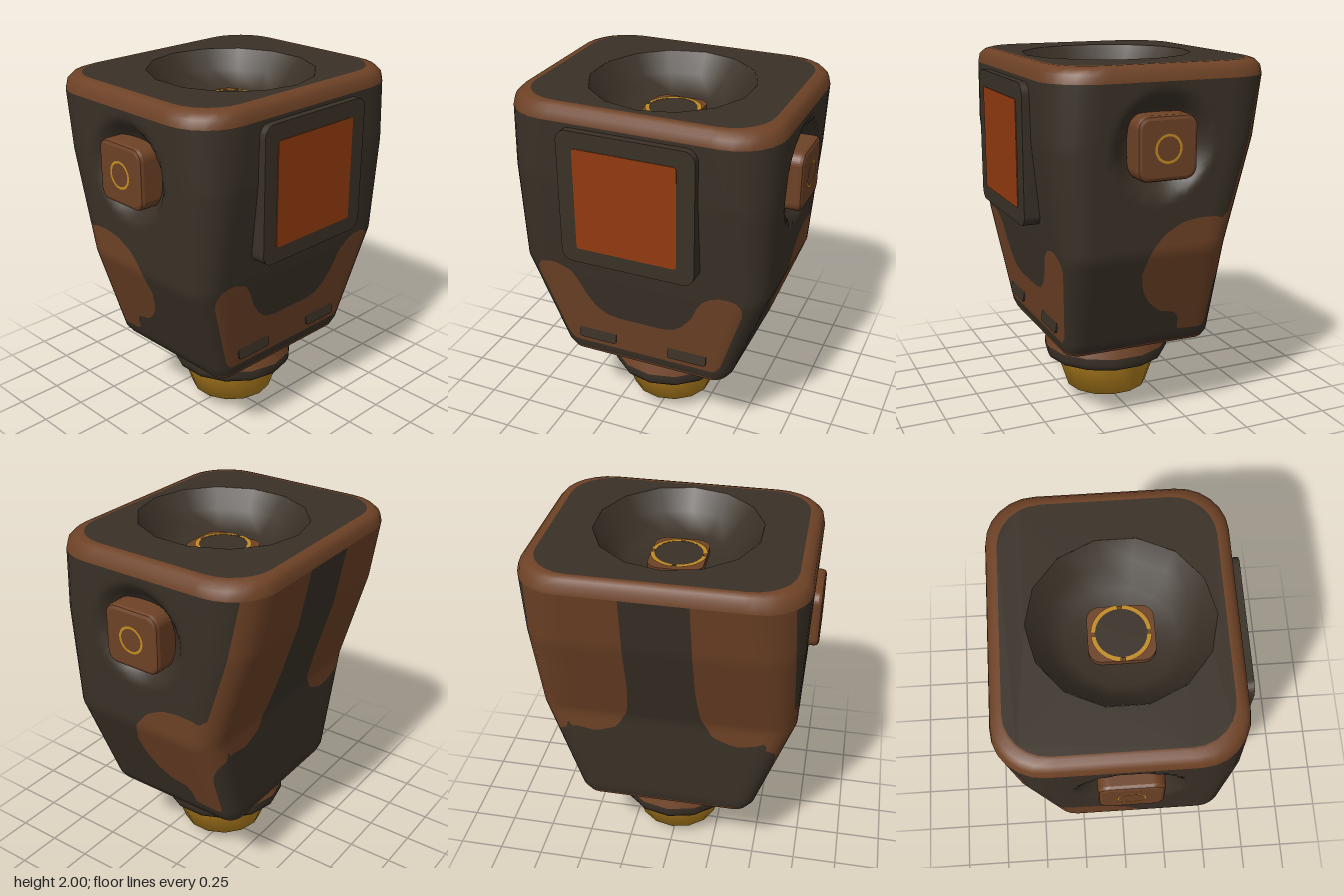
import * as THREE from 'three';

const mat = (name, color, side = THREE.FrontSide) => {
  const m = new THREE.MeshStandardMaterial({ color, side });
  m.name = name;
  return m;
};

// Body sections: y, half width, front z, back z, corner radius
const SECTIONS = [
  [0.46, 0.47, 0.435, -0.385, 0.08],
  [0.5, 0.5, 0.45, -0.4, 0.09],
  [1.05, 0.7, 0.53, -0.4, 0.14],
  [1.6, 0.717, 0.586, -0.565, 0.2],
  [1.92, 0.727, 0.592, -0.625, 0.25],
];
const RIM = [
  SECTIONS[4],
  [1.965, 0.718, 0.585, -0.618, 0.25],
  [1.99, 0.695, 0.562, -0.598, 0.24],
  [2, 0.665, 0.535, -0.572, 0.23],
  [2, 0.65, 0.52, -0.56, 0.22],
];
const ROWS = [1, 14, 15, 9];
const DISH = { y: 1.6, z: 0.02, r: 0.27 };

const mix = (a, b, t) => a.map((v, i) => v + (b[i] - v) * t);
const sectionAt = (y) => {
  let i = 0;
  while (i < SECTIONS.length - 2 && y > SECTIONS[i + 1][0]) i++;
  return mix(SECTIONS[i], SECTIONS[i + 1], (y - SECTIONS[i][0]) / (SECTIONS[i + 1][0] - SECTIONS[i][0]));
};

// Rounded rectangle ring around the body
function ring([y, w, zf, zb, r], arc = 6, straight = 24) {
  const pts = [];
  const centres = [[w - r, zf - r], [r - w, zf - r], [r - w, zb + r], [w - r, zb + r]];
  const on = (k, a) => new THREE.Vector3(centres[k][0] + r * Math.cos(a), y, centres[k][1] + r * Math.sin(a));
  for (let k = 0; k < 4; k++) {
    const end = (k + 1) * Math.PI / 2;
    for (let i = 0; i < arc; i++) pts.push(on(k, end - (1 - i / arc) * Math.PI / 2));
    const a = on(k, end), b = on((k + 1) % 4, end);
    for (let i = 0; i < straight; i++) pts.push(a.clone().lerp(b, i / straight));
  }
  return pts;
}

// Skin between closed rings of equal length
function loft(rings) {
  const n = rings[0].length, index = [];
  for (let j = 0; j < rings.length - 1; j++) {
    for (let i = 0; i < n; i++) {
      const a = j * n + i, b = j * n + (i + 1) % n;
      index.push(a, a + n, b, b, a + n, b + n);
    }
  }
  const g = new THREE.BufferGeometry().setFromPoints(rings.flat());
  g.setIndex(index);
  g.computeVertexNormals();
  return g;
}

// Signed distance to a polygon, positive inside
function inside(poly, x, y) {
  let d = Infinity, within = false;
  poly.forEach(([ax, ay], i) => {
    const [bx, by] = poly[(i + 1) % poly.length];
    const ex = bx - ax, ey = by - ay;
    const t = Math.min(1, Math.max(0, ((x - ax) * ex + (y - ay) * ey) / (ex * ex + ey * ey)));
    d = Math.min(d, Math.hypot(x - ax - ex * t, y - ay - ey * t));
    if ((ay > y) !== (by > y) && x < ax + ex * (y - ay) / ey) within = !within;
  });
  return within ? d : -d;
}

// Brown patches: front and back in (|x|, y), sides in (z, y)
const FRONT = [[-0.2, 0.53], [0.42, 0.53], [0.455, 0.56], [0.595, 0.99], [0.585, 1.035], [0.55, 1.065], [0.47, 1.065],
  [0.39, 1.035], [0.35, 0.98], [0.31, 0.89], [0.26, 0.82], [0.2, 0.775], [0.13, 0.76], [-0.2, 0.76]];
const BACK = [[0.17, 2.1], [0.18, 1.3], [0.2, 1.1], [0.26, 0.98], [0.38, 0.93], [0.5, 0.95], [0.62, 1.02], [0.9, 1.05], [0.9, 2.1]];
const SIDE = [[-0.2, 1.22], [-0.1, 1.205], [0, 1.15], [0.075, 1.06], [0.106, 0.94], [0.08, 0.83], [0.03, 0.75], [-0.04, 0.69],
  [-0.14, 0.665], [-0.165, 0.62], [-0.17, 0.55], [-0.34, 0.54], [-0.34, 0.8], [-0.36, 0.88], [-0.4, 0.93], [-0.41, 1.13], [-0.36, 1.19], [-0.3, 1.215]];
function patch(p) {
  const x = Math.abs(p.x), [, w, , zb] = sectionAt(p.y);
  const side = Math.min(inside(SIDE, p.z, p.y), x - w + 0.12);
  const ends = p.z > 0 ? inside(FRONT, x, p.y) : Math.min(inside(BACK, x, p.y), zb + 0.08 - p.z);
  return Math.max(side, ends, 0.475 - p.y);
}

// Cut a geometry along the zero line of a function; keep one side
function cut(geo, fn, sign) {
  const P = geo.attributes.position, N = geo.attributes.normal, pos = [], nor = [];
  const verts = Array.from({ length: P.count }, (_, i) => {
    const p = new THREE.Vector3().fromBufferAttribute(P, i);
    return { p, n: new THREE.Vector3().fromBufferAttribute(N, i), f: sign * fn(p) };
  });
  const idx = geo.index.array;
  for (let t = 0; t < idx.length; t += 3) {
    const poly = [];
    for (let k = 0; k < 3; k++) {
      const a = verts[idx[t + k]], b = verts[idx[t + (k + 1) % 3]];
      if (a.f >= 0) poly.push(a);
      if ((a.f >= 0) !== (b.f >= 0)) {
        const s = a.f / (a.f - b.f);
        poly.push({ p: a.p.clone().lerp(b.p, s), n: a.n.clone().lerp(b.n, s).normalize() });
      }
    }
    for (let k = 1; k < poly.length - 1; k++) {
      for (const v of [poly[0], poly[k], poly[k + 1]]) { pos.push(...v.p); nor.push(...v.n); }
    }
  }
  const g = new THREE.BufferGeometry();
  g.setAttribute('position', new THREE.Float32BufferAttribute(pos, 3));
  g.setAttribute('normal', new THREE.Float32BufferAttribute(nor, 3));
  return g;
}

function roundedRect(w, h, r) {
  const s = new THREE.Shape();
  s.absarc(w - r, h - r, r, 0, Math.PI / 2);
  s.absarc(r - w, h - r, r, Math.PI / 2, Math.PI);
  s.absarc(r - w, r - h, r, Math.PI, Math.PI * 1.5);
  s.absarc(w - r, r - h, r, Math.PI * 1.5, Math.PI * 2);
  return s;
}
const slab = (w, h, r, depth, bevel = 0) => new THREE.ExtrudeGeometry(roundedRect(w - bevel, h - bevel, r), {
  depth, curveSegments: 5, bevelEnabled: bevel > 0, bevelSize: bevel, bevelThickness: bevel, bevelSegments: 2 });
const lathe = (pts) => new THREE.LatheGeometry(pts.map(([x, y]) => new THREE.Vector2(x, y)), 14);

export function createModel() {
  const root = new THREE.Group();
  const dark = mat('dark shell', 0x3a3127, THREE.DoubleSide);
  const brown = mat('brown trim', 0x6e4226);
  const gold = mat('gold', 0xc08a22);
  const orange = mat('orange screen', 0x923a10);
  const add = (name, geo, m, x = 0, y = 0, z = 0, parent = root) => {
    const mesh = new THREE.Mesh(geo, m);
    mesh.name = name;
    mesh.position.set(x, y, z);
    parent.add(mesh);
    return mesh;
  };

  // Shell with a round dish pressed into each side
  const rings = [ring(SECTIONS[0])];
  ROWS.forEach((n, i) => {
    for (let k = 1; k <= n; k++) rings.push(ring(mix(SECTIONS[i], SECTIONS[i + 1], k / n)));
  });
  for (const p of rings.flat()) {
    const d = Math.hypot(p.y - DISH.y, p.z - DISH.z);
    if (d < DISH.r && Math.abs(p.x) > 0.6) p.x -= Math.sign(p.x) * Math.min(0.09, (DISH.r - d) * 0.9);
  }
  const skin = loft(rings);
  add('shell', cut(skin, patch, -1), dark);
  add('shellPatches', cut(skin, patch, 1), brown);
  add('topRim', loft(RIM.map((s) => ring(s))), brown);

  // Underside and top plate with bowl
  const under = new THREE.Shape(ring(SECTIONS[0], 6, 1).map((p) => new THREE.Vector2(p.x, p.z)));
  add('underside', new THREE.ShapeGeometry(under).rotateX(Math.PI / 2), brown, 0, 0.46, 0);
  const top = new THREE.Shape(ring(RIM[4], 6, 1).map((p) => new THREE.Vector2(p.x, -p.z)));
  top.holes.push(new THREE.Path(Array.from({ length: 14 }, (_, i) => {
    const a = i * Math.PI / 7;
    return new THREE.Vector2(0.442 * Math.sin(a), -0.02 - 0.46 * Math.cos(a));
  })));
  add('topPlate', new THREE.ShapeGeometry(top).rotateX(-Math.PI / 2), dark, 0, 2, 0);
  add('topBowl', lathe([[0.46, 2], [0.38, 1.9], [0.28, 1.81], [0, 1.8]]), dark, 0, 0, 0.02).scale.x = 0.96;

  // Connector inside the bowl
  add('topConnector', slab(0.147, 0.167, 0.07, 0.06).rotateX(-Math.PI / 2), brown, 0, 1.78, 0.02);
  add('connectorCap', new THREE.CylinderGeometry(0.13, 0.13, 0.006, 24), dark, 0, 1.841, 0.02);
  for (let i = 0; i < 4; i++) {
    const arc = new THREE.RingGeometry(0.128, 0.15, 8, 1, i * Math.PI / 2 + 0.08, Math.PI / 2 - 0.16);
    add('connectorRing', arc.rotateX(-Math.PI / 2), gold, 0, 1.846, 0.02);
  }

  // Side knobs
  for (const s of [1, -1]) {
    const knob = new THREE.Group();
    knob.name = s > 0 ? 'leftKnob' : 'rightKnob';
    knob.position.set(s * 0.61, DISH.y, DISH.z);
    knob.rotation.y = s * Math.PI / 2;
    add('knobBody', slab(0.163, 0.163, 0.04, 0.135, 0.022), brown, 0, 0, 0, knob);
    add('knobRing', new THREE.RingGeometry(0.061, 0.074, 24), gold, 0, 0, 0.159, knob);
    root.add(knob);
  }

  // Screen and front slots
  add('screenFrame', slab(0.37, 0.367, 0.06, 0.11), dark, 0, 1.533, 0.52);
  add('screen', slab(0.278, 0.28, 0.015, 0.005), orange, -0.003, 1.53, 0.629);
  for (const s of [1, -1]) {
    const slot = add('frontSlot', slab(0.113, 0.043, 0.015, 0.008), dark, s * 0.268, 0.612, 0.464);
    slot.rotation.x = -Math.atan(0.08 / 0.55);
  }

  // Neck and pointed base
  add('neck', lathe([[0.36, 0.335], [0.352, 0.36], [0.315, 0.47]]), brown, 0, 0, 0.025).scale.x = 0.96;
  add('neckRing', lathe([[0.27, 0.27], [0.345, 0.27], [0.36, 0.3], [0.36, 0.34]]), dark, 0, 0, 0.025).scale.x = 0.96;
  add('pointedBase', lathe([[0, 0], [0.235, 0.08], [0.305, 0.29]]), gold, 0, 0, 0.025);
  return root;
}
